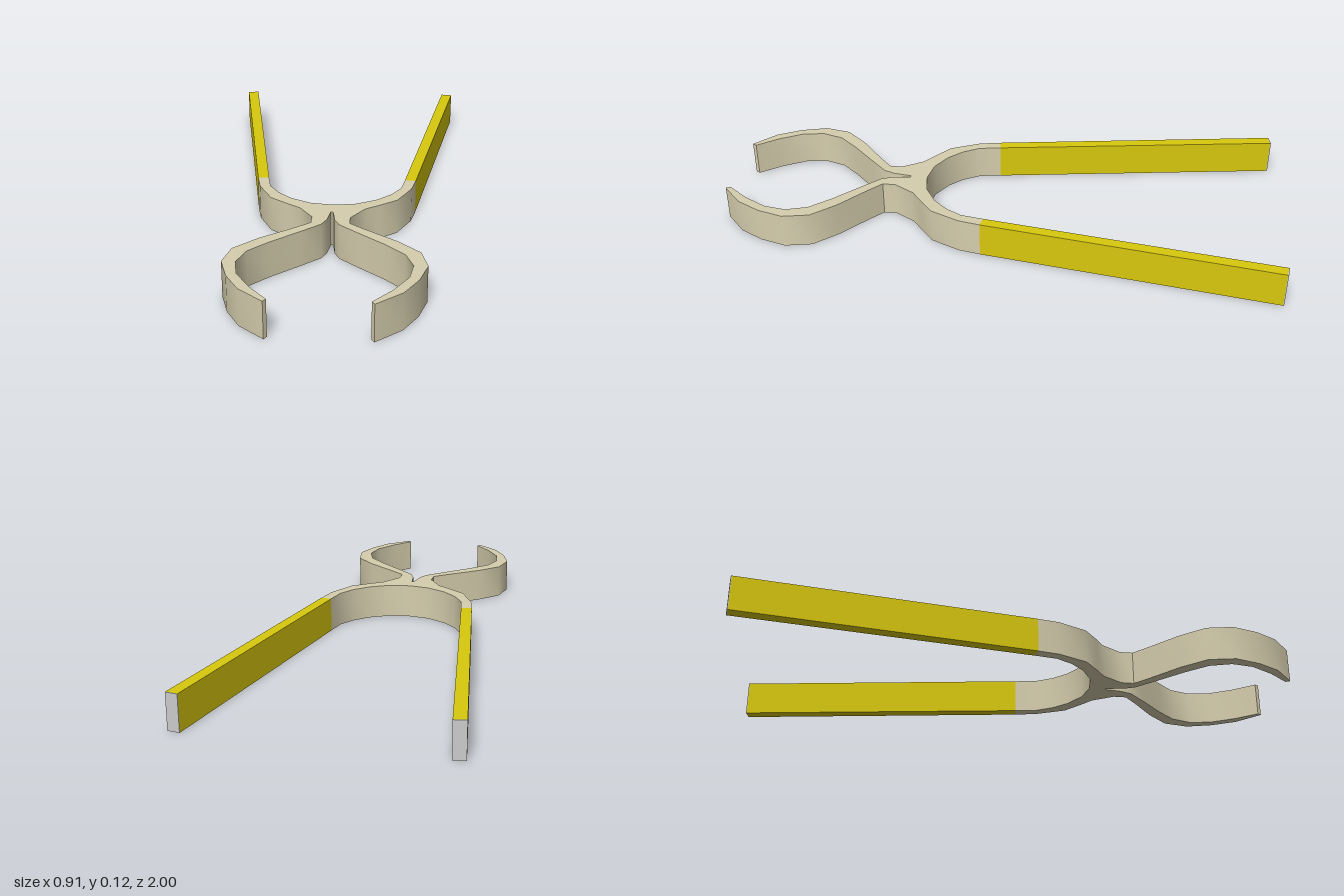
import * as THREE from 'three';
import { toCreasedNormals } from 'three/addons/utils/BufferGeometryUtils.js';

const HEIGHT = 0.125;

// Upright prism from a plan outline of [x, z] points
function prism(name, outline, color) {
  const shape = new THREE.Shape(outline.map(([x, z]) => new THREE.Vector2(x, -z)));
  const geometry = new THREE.ExtrudeGeometry(shape, { depth: HEIGHT, bevelEnabled: false });
  geometry.rotateX(-Math.PI / 2);
  const mesh = new THREE.Mesh(
    toCreasedNormals(geometry, 0.75),
    new THREE.MeshStandardMaterial({ color })
  );
  mesh.name = name;
  return mesh;
}

const mirror = (points) => points.map(([x, z]) => [-x, z]);

export function createModel() {
  const group = new THREE.Group();
  group.name = 'tongs';

  // One half of the metal body, from the inner bow round the jaw to the slit
  const half = [
    // inside of the bow
    [0.08, 0.27], [0.15, 0.23], [0.2, 0.18], [0.235, 0.12], [0.249, 0.04],
    // outside of the bow and waist
    [0.288, 0.047], [0.272, 0.125], [0.222, 0.23], [0.16, 0.28], [0.112, 0.315],
    [0.065, 0.39], [0.065, 0.437],
    // outside of the jaw
    [0.12, 0.485], [0.225, 0.57], [0.3, 0.65], [0.32, 0.745], [0.292, 0.84],
    [0.245, 0.925], [0.162, 1.0],
    // inside of the jaw
    [0.153, 0.985], [0.213, 0.91], [0.262, 0.825], [0.275, 0.745], [0.25, 0.668],
    [0.185, 0.597], [0.095, 0.513], [0.03, 0.45], [0.013, 0.41], [0.004, 0.345],
  ];
  group.add(prism('body', [[0, 0.283], ...half, ...mirror(half).reverse()], 0xd6ceae));

  // Handle grips with plain end caps
  const grip = [[0.249, 0.04], [0.288, 0.047], [0.455, -0.99], [0.413, -0.997]];
  const cap = [[0.413, -0.997], [0.455, -0.99], [0.4555, -0.993], [0.4135, -1.0]];
  for (const [side, place] of [['left', (p) => p], ['right', mirror]]) {
    group.add(prism(side + 'Handle', place(grip), 0xd8c80e));
    group.add(prism(side + 'HandleEnd', place(cap), 0xcccccc));
  }
  return group;
}
